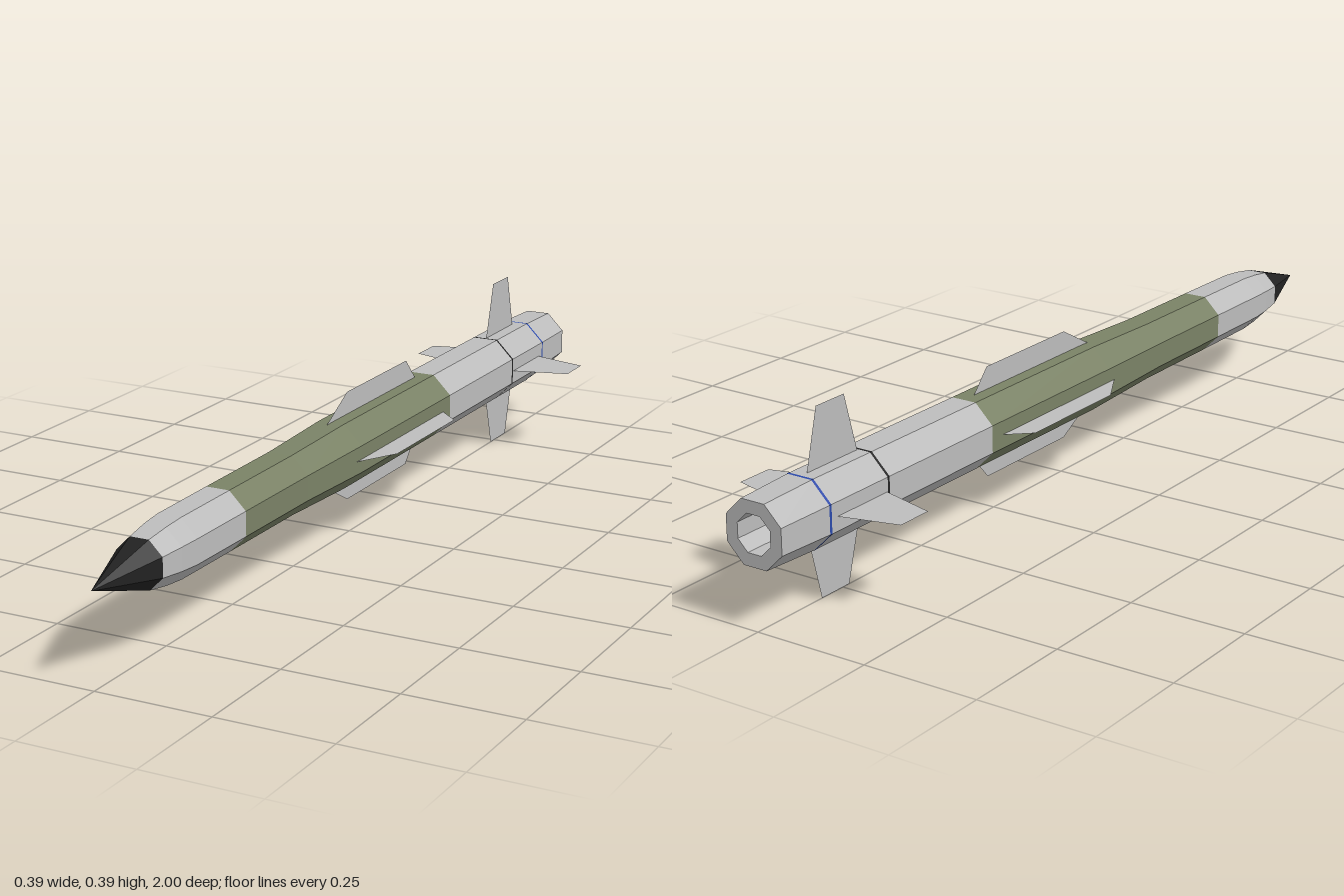
import * as THREE from 'three';

const CENTRE_Y = 0.195;
const SIDES = 8;

function material(name, color, side = THREE.FrontSide) {
  return new THREE.MeshStandardMaterial({ name, color, flatShading: true, side });
}

// Octagonal section along z; profile is [flat-to-centre radius, z] from back to front
function section(name, profile, mat) {
  const toCorner = 1 / Math.cos(Math.PI / SIDES);
  const points = profile.map(([r, z]) => new THREE.Vector2(r * toCorner, z));
  const geometry = new THREE.LatheGeometry(points, SIDES, Math.PI / SIDES);
  geometry.rotateX(Math.PI / 2);
  const mesh = new THREE.Mesh(geometry, mat);
  mesh.name = name;
  return mesh;
}

// Four flat fins around the axis; outline is [distance from axis, z]
function finSet(name, outline, mat) {
  const set = new THREE.Group();
  set.name = name + 's';
  const shape = new THREE.Shape(outline.map(([r, z]) => new THREE.Vector2(r, z)));
  const geometry = new THREE.ShapeGeometry(shape);
  geometry.rotateX(Math.PI / 2);
  for (let i = 0; i < 4; i++) {
    const fin = new THREE.Mesh(geometry, mat);
    fin.name = name;
    fin.rotation.z = (i * Math.PI) / 2;
    set.add(fin);
  }
  return set;
}

export function createModel() {
  const grey = material('lightGrey', 0xbcbcbc);
  const finGrey = material('finGrey', 0xbcbcbc, THREE.DoubleSide);
  const olive = material('oliveGreen', 0x7a8266);
  const black = material('black', 0x222222);
  const blue = material('blue', 0x2a48a8);

  const model = new THREE.Group();
  model.name = 'missile';
  const body = new THREE.Group();
  body.name = 'body';
  body.position.y = CENTRE_Y;
  model.add(body);

  body.add(
    // Rear tube, with the exhaust recess turned inwards
    section('rearBody', [
      [0, -0.85], [0.039, -0.85], [0.039, -1], [0.066, -1], [0.071, -0.86], [0.071, -0.35],
    ], grey),
    // Painted middle, narrowing towards the front
    section('middleBody', [
      [0.071, -0.35], [0.071, 0.08], [0.064, 0.3], [0.063, 0.55],
    ], olive),
    // Rounded shoulder and pointed tip
    section('shoulder', [
      [0.063, 0.55], [0.062, 0.73], [0.058, 0.78], [0.05, 0.835],
    ], grey),
    section('noseTip', [[0.05, 0.835], [0, 1]], black),
    // Thin painted rings near the tail
    section('frontRing', [[0.0714, -0.693], [0.0714, -0.687]], black),
    section('rearRing', [[0.0712, -0.868], [0.0714, -0.862]], blue),
    // Fins
    finSet('middleFin', [
      [0.05, 0.1], [0.071, 0.1], [0.12, 0.01], [0.12, -0.27], [0.071, -0.315], [0.05, -0.315],
    ], finGrey),
    finSet('tailFin', [
      [0.05, -0.69], [0.071, -0.695], [0.195, -0.73], [0.195, -0.813], [0.071, -0.845], [0.05, -0.85],
    ], finGrey),
  );

  return model;
}
